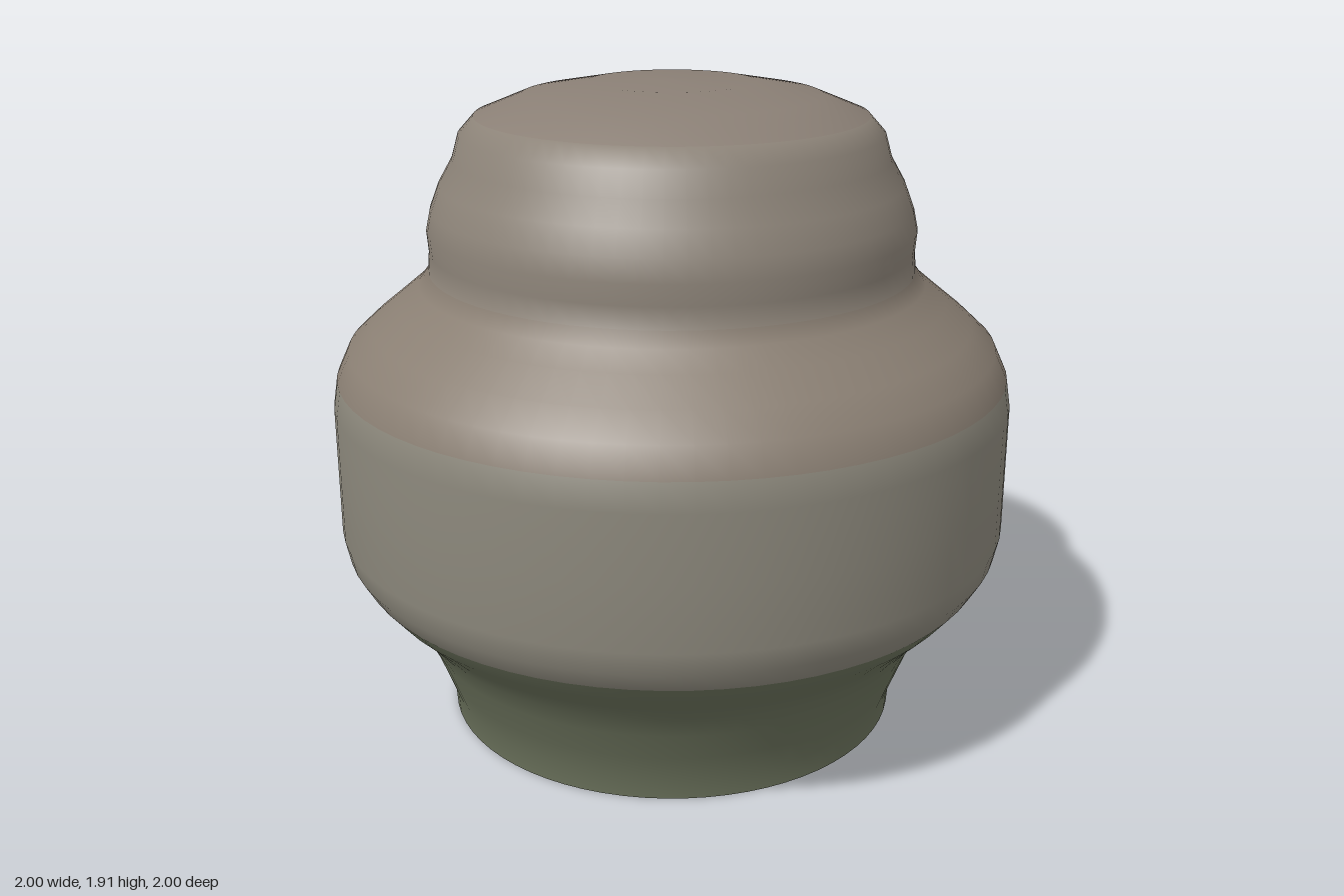
import * as THREE from 'three';

const SEGMENTS = 72;

// Outer silhouette [radius, height], from the foot up to the crown
const PROFILE = [
  [0.685, 0], [0.69, 0.07], [0.72, 0.15], [0.755, 0.24], [0.79, 0.31], [0.84, 0.37], [0.9, 0.43], [0.95, 0.49],
  [0.985, 0.55], [1, 0.62], [1, 0.8], [1, 1], [0.987, 1.08], [0.95, 1.16], [0.88, 1.225], [0.8, 1.29], [0.74, 1.34], [0.71, 1.38],
  [0.705, 1.44], [0.71, 1.5], [0.697, 1.56], [0.67, 1.63], [0.63, 1.7], [0.61, 1.77], [0.565, 1.82],
  [0.43, 1.875], [0.24, 1.91], [0, 1.915],
];

// Keeps only profile rows from..to of the lathe, so normals stay smooth across parts
function band(lathe, from, to) {
  const rows = PROFILE.length - 1;
  const source = lathe.index.array;
  const index = [];
  for (let s = 0; s < SEGMENTS; s++) {
    for (let r = from; r < to; r++) {
      const start = (s * rows + r) * 6;
      index.push(...source.slice(start, start + 6));
    }
  }
  const part = lathe.clone();
  part.setIndex(index);
  return part.toNonIndexed();
}

function addPart(group, name, geometry, color) {
  const mesh = new THREE.Mesh(geometry, new THREE.MeshStandardMaterial({ color }));
  mesh.name = name;
  group.add(mesh);
  return mesh;
}

export function createModel() {
  const jar = new THREE.Group();
  jar.name = 'jar';
  const lathe = new THREE.LatheGeometry(PROFILE.map(([r, y]) => new THREE.Vector2(r, y)), SEGMENTS);

  // Green glazed foot, round belly, sloping shoulder, stepped lid and its crown
  addPart(jar, 'foot', band(lathe, 0, 7), 0x69705a);
  addPart(jar, 'belly', band(lathe, 7, 12), 0x8b877b);
  addPart(jar, 'shoulder', band(lathe, 12, 17), 0x8a7f73);
  addPart(jar, 'lid', band(lathe, 17, 24), 0x8c8378);
  addPart(jar, 'crown', band(lathe, 24, 27), 0x8a7f75);

  // Flat underside
  const underside = addPart(jar, 'underside', new THREE.CircleGeometry(0.685, SEGMENTS), 0x4c5142);
  underside.rotation.x = Math.PI / 2;
  return jar;
}
